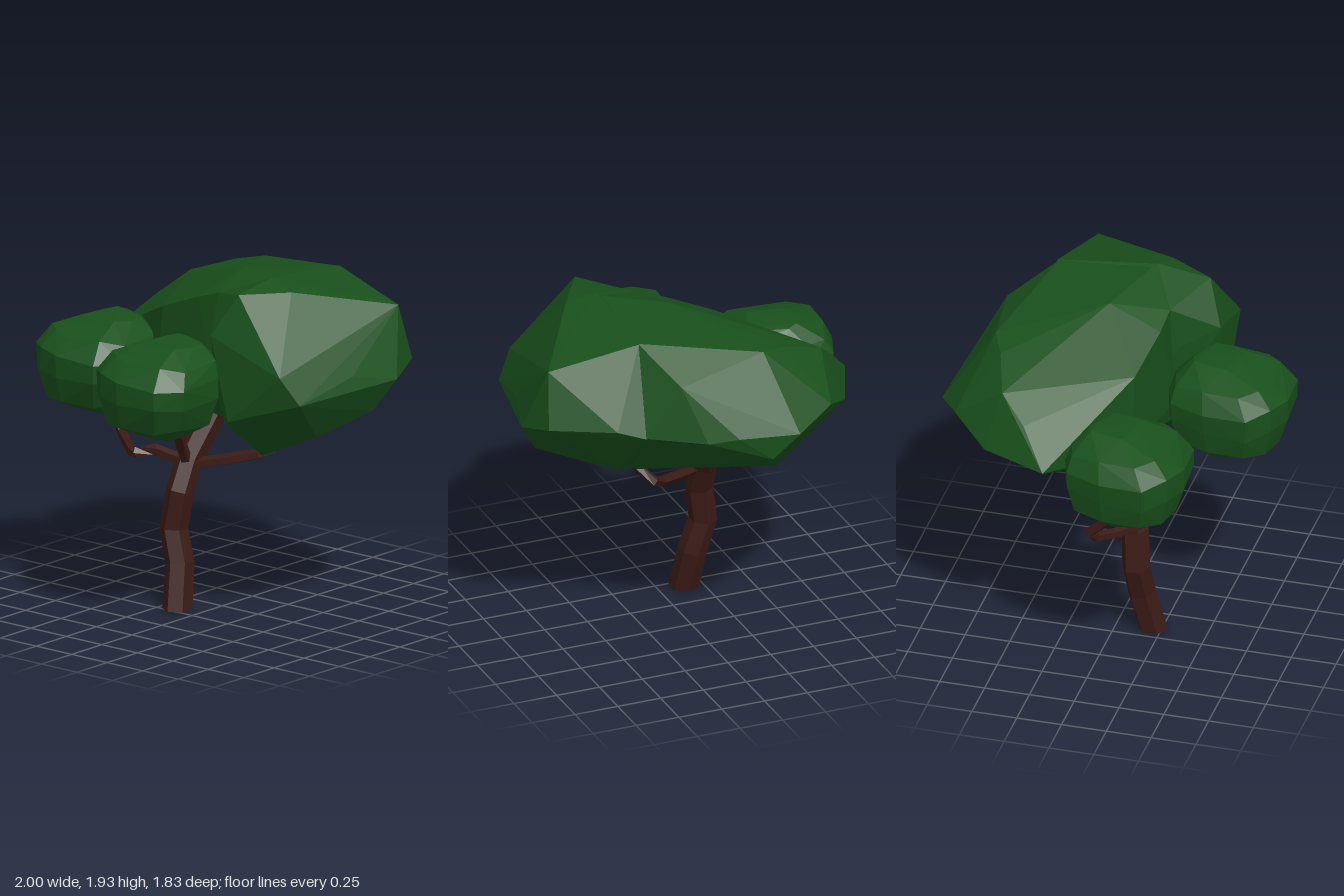
import * as THREE from 'three';
import { ConvexGeometry } from 'three/addons/geometries/ConvexGeometry.js';

const V = (p) => new THREE.Vector3(...p);
const leafMat = new THREE.MeshStandardMaterial({ color: 0x19501c, flatShading: true });
const barkMat = new THREE.MeshStandardMaterial({ color: 0x3b1b16, flatShading: true });

function addMesh(group, name, geometry, material) {
  const mesh = new THREE.Mesh(geometry, material);
  mesh.name = name;
  group.add(mesh);
  return mesh;
}

// Faceted limb swept along a path, tapering from r0 to r1, closed at both ends
function limb(path, r0, r1, sides, flatBase = false) {
  const pts = path.map(V), n = pts.length, pos = [], idx = [];
  const up = new THREE.Vector3(0, 1, 0);
  pts.forEach((p, i) => {
    const dir = pts[Math.min(i + 1, n - 1)].clone().sub(pts[Math.max(i - 1, 0)]).normalize();
    if (flatBase && i === 0) dir.copy(up);
    const q = new THREE.Quaternion().setFromUnitVectors(up, dir);
    const r = r0 + (r1 - r0) * i / (n - 1);
    for (let s = 0; s < sides; s++) {
      const a = s / sides * Math.PI * 2;
      const v = new THREE.Vector3(Math.sin(a) * r, 0, Math.cos(a) * r).applyQuaternion(q).add(p);
      pos.push(v.x, v.y, v.z);
    }
  });
  for (let i = 0; i < n - 1; i++) {
    for (let s = 0; s < sides; s++) {
      const a = i * sides + s, b = i * sides + (s + 1) % sides;
      idx.push(a, b, b + sides, a, b + sides, a + sides);
    }
  }
  const top = (n - 1) * sides;
  for (let s = 1; s < sides - 1; s++) idx.push(0, s + 1, s, top, top + s, top + s + 1);
  const g = new THREE.BufferGeometry();
  g.setAttribute('position', new THREE.Float32BufferAttribute(pos, 3));
  g.setIndex(idx);
  const flat = g.toNonIndexed();
  flat.computeVertexNormals();
  return flat;
}

// Small rounded leaf clump: one plan outline at several heights [y, scale, shift x, shift z]
function clumpGeometry() {
  const outline = [[-0.31, 0.16], [-0.3, -0.08], [-0.23, -0.28], [-0.1, -0.33], [0.09, -0.33],
    [0.23, -0.23], [0.31, -0.13], [0.31, 0.08], [0.32, 0.19], [0.21, 0.31], [-0.04, 0.33], [-0.2, 0.28]];
  const rings = [[-0.235, 0.55, -0.02, 0], [-0.18, 0.84, -0.01, 0], [-0.04, 0.97, 0, 0],
    [0.08, 0.99, 0, 0], [0.165, 0.82, 0.01, -0.03], [0.23, 0.42, 0.05, -0.08]];
  let seed = 7;
  const rand = () => (seed = (seed * 16807) % 2147483647) / 2147483647 - 0.5;
  const pts = [];
  for (const [y, s, dx, dz] of rings) {
    for (const [x, z] of outline) {
      const k = s * (1 + rand() * 0.07);
      pts.push(new THREE.Vector3(x * k + dx, y + rand() * 0.04, z * k + dz));
    }
  }
  return new ConvexGeometry(pts);
}

export function createModel() {
  const tree = new THREE.Group();
  tree.name = 'tree';

  // Bent trunk
  addMesh(tree, 'trunk', limb([[-0.147, 0, 0.2], [-0.175, 0.24, 0.145], [-0.23, 0.42, 0.13],
    [-0.2, 0.63, 0.115], [-0.195, 0.8, 0.04], [-0.14, 1.05, -0.1], [-0.09, 1.25, -0.17]],
  0.082, 0.072, 6, true), barkMat);

  // Branches reaching to the clumps
  addMesh(tree, 'rightBranch', limb([[-0.2, 0.79, 0.08], [-0.31, 0.86, 0.2], [-0.37, 0.85, 0.27],
    [-0.46, 0.82, 0.2], [-0.58, 0.825, 0.1], [-0.68, 0.855, 0.03], [-0.735, 0.91, 0.01],
    [-0.75, 1.0, 0.11], [-0.75, 1.12, 0.22]], 0.034, 0.026, 5), barkMat);
  addMesh(tree, 'frontBranch', limb([[-0.19, 0.78, 0.07], [-0.17, 0.87, 0.13], [-0.14, 0.97, 0.2],
    [-0.125, 1.06, 0.25], [-0.12, 1.18, 0.29]], 0.036, 0.026, 5), barkMat);
  addMesh(tree, 'leftBranch', limb([[-0.18, 0.77, 0.06], [-0.03, 0.8, -0.04], [0.13, 0.84, -0.15],
    [0.2, 0.88, -0.21], [0.27, 0.95, -0.15], [0.33, 1.1, -0.1]], 0.034, 0.026, 5), barkMat);

  // Two small clumps
  const clump = clumpGeometry();
  addMesh(tree, 'rightClump', clump, leafMat).position.set(-0.68, 1.295, 0.21);
  addMesh(tree, 'frontClump', clump, leafMat).position.set(0.06, 1.36, 0.58);

  // Large crown: a bulge on the left, merging into a broad mass behind
  const crown = {
    leftCrown: [[0.42, 1.93, 0.07], [0.42, 1.89, 0.36], [0.15, 1.82, 0.21], [0.58, 1.88, 0.11],
      [0.71, 1.81, -0.19], [0.9, 1.76, -0.4], [0.41, 1.87, -0.49], [1, 1.39, -0.27],
      [0.93, 1.45, -0.48], [0.89, 1.21, -0.2], [0.92, 1.45, 0], [0.86, 1.35, 0.37],
      [0.77, 1.5, 0.43], [0.3, 1.66, 0.45], [0.42, 1.2, 0.45], [0.75, 1.1, 0.1],
      [0.35, 0.92, 0.08], [0.06, 1.04, 0.05], [0.45, 1.4, -0.69], [0.6, 1.45, -0.65],
      [0.5, 1.1, -0.42], [0.16, 1.58, 0.25], [0.17, 1.25, 0.24], [0.1, 1.06, -0.35]],
    backCrown: [[-0.25, 1.77, -0.65], [-0.18, 1.76, -0.35], [-0.4, 1.74, -0.58], [-0.65, 1.65, -0.5],
      [-0.76, 1.53, -0.35], [-0.92, 1.35, -0.2], [-0.76, 1.35, -0.57], [-0.64, 1.4, -0.66],
      [-0.59, 1.45, -0.78], [-0.35, 1.38, -0.92], [-0.01, 1.4, -0.89], [0.15, 1.38, -0.84],
      [0.26, 1.69, -0.73], [-0.2, 1.25, -0.9], [-0.3, 1.11, -0.72], [0.1, 1.13, -0.6],
      [-0.2, 1.06, -0.45], [-0.1, 1.04, -0.2], [-0.6, 1.17, -0.3], [-0.64, 1.25, -0.07],
      [-0.35, 1.22, 0.14], [-0.42, 1.5, 0.07], [-0.3, 1.65, 0.14], [0, 1.77, 0.2],
      [0.15, 1.82, 0.21], [0.16, 1.25, 0.24], [0.05, 1.87, -0.1], [0.42, 1.92, 0.05],
      [0.41, 1.87, -0.48], [0.06, 1.04, 0], [-0.4, 1.14, 0], [0.45, 1.4, -0.68], [0.4, 1.09, -0.42]],
  };
  for (const [name, pts] of Object.entries(crown)) {
    addMesh(tree, name, new ConvexGeometry(pts.map(V)), leafMat);
  }
  return tree;
}
